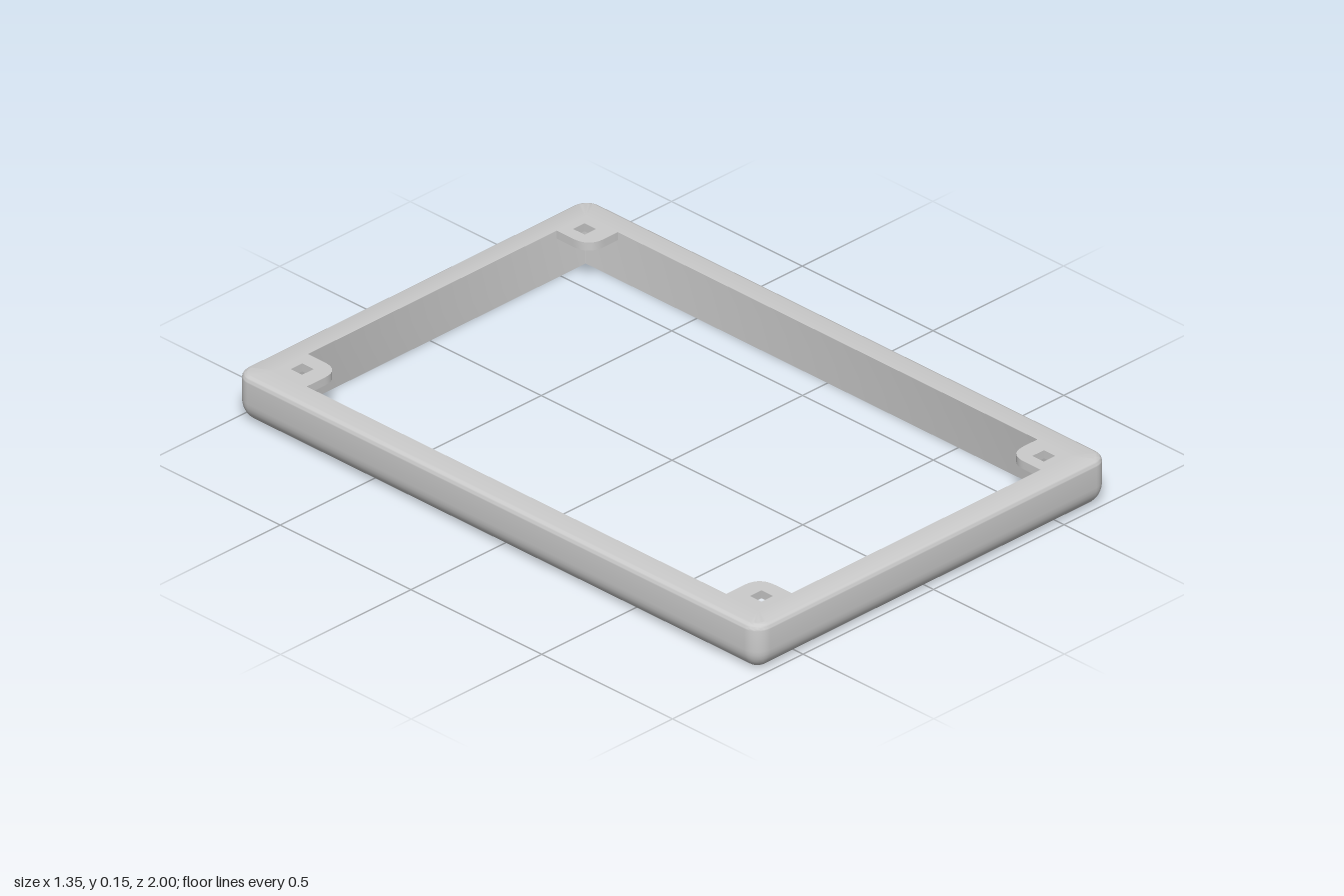
import * as THREE from 'three';
import { toCreasedNormals } from 'three/addons/utils/BufferGeometryUtils.js';

const HX = 0.675, HZ = 1, H = 0.147;        // outer half sizes and height
const IX = 0.596, IZ = 0.925;               // half sizes of the opening
const CORNER = 0.05, STEPS = 8;
const material = new THREE.MeshStandardMaterial({ color: 0xcccccc, side: THREE.DoubleSide });

// One rounded-rectangle ring of points at height y
function ring(hx, hz, r, y) {
  const points = [];
  [[1, 1], [-1, 1], [-1, -1], [1, -1]].forEach(([sx, sz], q) => {
    for (let i = 0; i <= STEPS; i++) {
      const a = (q + i / STEPS) * Math.PI / 2;
      points.push([sx * (hx - r) + r * Math.cos(a), y, sz * (hz - r) + r * Math.sin(a)]);
    }
  });
  return points;
}

// Closed loft: soft lower edge, slim upper edge, straight inner wall
function frameGeometry() {
  const rings = [];
  const outer = (inset, y) =>
    rings.push(ring(HX - inset, HZ - inset, Math.max(CORNER - inset, 0.002), y));
  const arc = (r, rise, fromTop) => {
    for (let i = 0; i <= 8; i++) {
      const a = (i / 8) * Math.PI / 2;
      if (fromTop) outer(r * (1 - Math.cos(a)), H - rise * (1 - Math.sin(a)));
      else outer(r * (1 - Math.sin(a)), rise * (1 - Math.cos(a)));
    }
  };
  arc(0.055, 0.065, false);
  arc(0.02, 0.018, true);
  rings.push(ring(IX, IZ, 0.001, H), ring(IX, IZ, 0.001, 0));

  const n = rings[0].length, index = [];
  for (let k = 0; k < rings.length; k++) {
    const k2 = (k + 1) % rings.length;
    for (let i = 0; i < n; i++) {
      const j = (i + 1) % n;
      const a = k * n + i, b = k * n + j, c = k2 * n + j, d = k2 * n + i;
      index.push(a, c, b, a, d, c);
    }
  }
  const geometry = new THREE.BufferGeometry();
  geometry.setAttribute('position', new THREE.Float32BufferAttribute(rings.flat(2), 3));
  geometry.setIndex(index);
  return toCreasedNormals(geometry, 0.6);
}

// Thin corner tab with one rounded corner and a square hole
function tabGeometry(sx, sz) {
  const thickness = 0.025, r = 0.06, z0 = 0.802;
  const x0 = sx > 0 ? 0.485 : 0.468;
  const hx = sx > 0 ? 0.545 : 0.537, hz = 0.878, s = 0.022;
  const shape = new THREE.Shape();
  shape.moveTo(sx * IX, sz * IZ);
  shape.lineTo(sx * x0, sz * IZ);
  shape.lineTo(sx * x0, sz * (z0 + r));
  shape.quadraticCurveTo(sx * x0, sz * z0, sx * (x0 + r), sz * z0);
  shape.lineTo(sx * IX, sz * z0);
  shape.closePath();
  const hole = new THREE.Path();
  hole.moveTo(sx * hx - s, sz * hz - s);
  hole.lineTo(sx * hx - s, sz * hz + s);
  hole.lineTo(sx * hx + s, sz * hz + s);
  hole.lineTo(sx * hx + s, sz * hz - s);
  hole.closePath();
  shape.holes.push(hole);
  const geometry = new THREE.ExtrudeGeometry(shape, { depth: thickness, bevelEnabled: false, curveSegments: 10 });
  geometry.rotateX(Math.PI / 2);            // shape y becomes z, depth goes down
  geometry.translate(0, H, 0);
  return toCreasedNormals(geometry, 0.6);
}

export function createModel() {
  const group = new THREE.Group();
  group.name = 'rectangularBezel';
  const add = (name, geometry) => {
    const mesh = new THREE.Mesh(geometry, material);
    mesh.name = name;
    group.add(mesh);
  };
  add('frame', frameGeometry());
  for (const sx of [1, -1]) {
    for (const sz of [1, -1]) {
      add((sz > 0 ? 'front' : 'back') + (sx > 0 ? 'Left' : 'Right') + 'ScrewTab', tabGeometry(sx, sz));
    }
  }
  return group;
}
